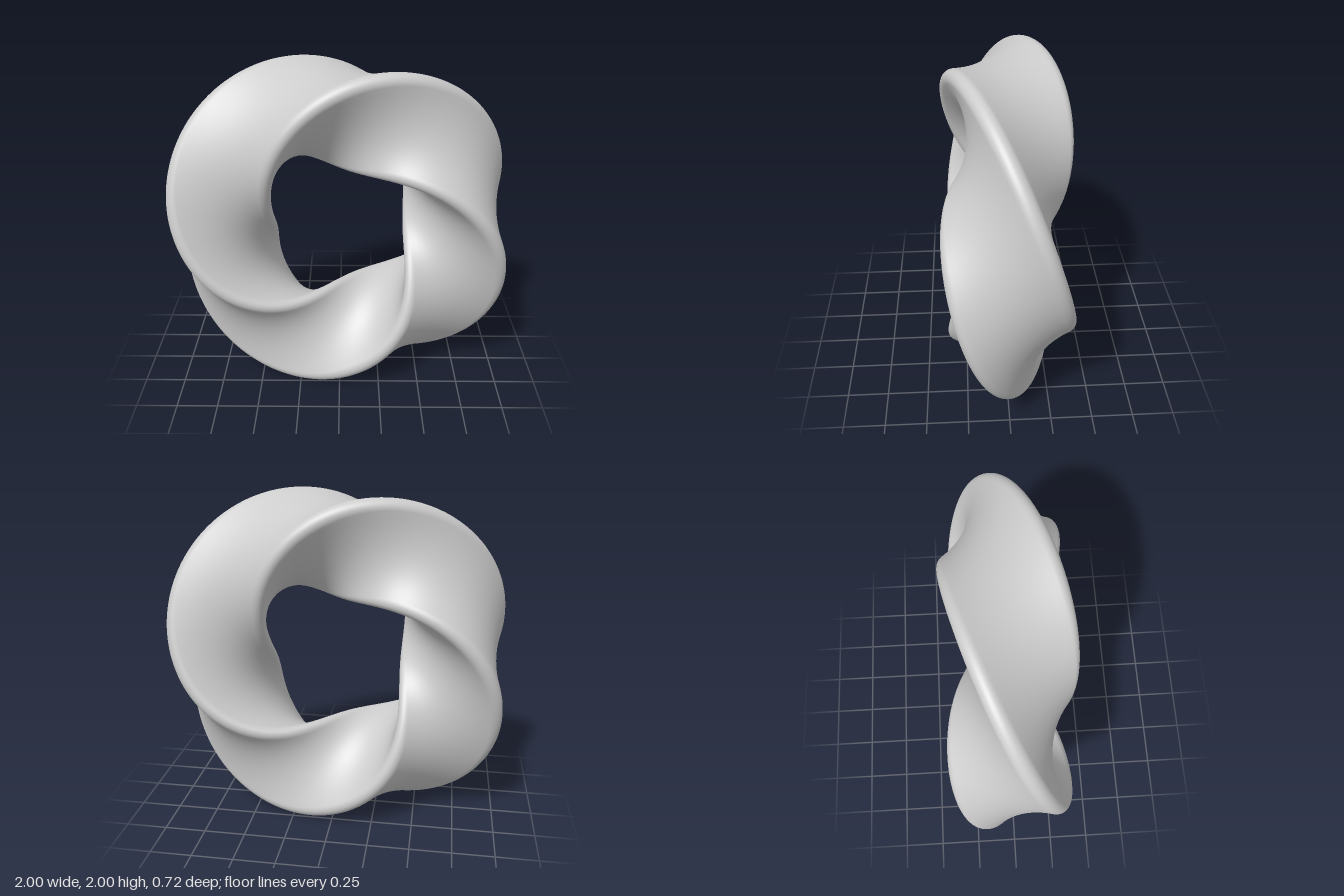
import * as THREE from 'three';

const RING = 0.745;      // radius of the ring's centre line
const CORNER = 0.3;      // section centre to centre of each rounded corner
const ROUND = 0.06;      // corner rounding radius
const TWIST = 4 / 3;     // section turns per trip round the ring
const STEPS = 288;       // sections round the ring

// Rounded triangle, counter-clockwise, as [radial, axial] points
function roundedTriangle(arcSteps, sideSteps) {
  const points = [];
  const third = (Math.PI * 2) / 3;
  const at = (corner, a) => new THREE.Vector2(
    CORNER * Math.cos(corner * third) + ROUND * Math.cos(a),
    CORNER * Math.sin(corner * third) + ROUND * Math.sin(a));
  for (let c = 0; c < 3; c++) {
    const start = c * third - third / 2;
    const end = start + third;
    for (let i = 0; i < arcSteps; i++) points.push(at(c, start + (third * i) / arcSteps));
    const from = at(c, end);
    const to = at(c + 1, end);
    for (let i = 0; i < sideSteps; i++) points.push(from.clone().lerp(to, i / sideSteps));
  }
  return points;
}

// Sweep the section round the ring while it twists
function twistedRing() {
  const section = roundedTriangle(12, 14);
  const n = section.length;
  const positions = [];
  const index = [];
  for (let s = 0; s < STEPS; s++) {
    const theta = (s / STEPS) * Math.PI * 2;
    const turn = TWIST * (theta - Math.PI / 4);
    const ct = Math.cos(turn), st = Math.sin(turn);
    for (const p of section) {
      const r = RING + p.x * ct - p.y * st;
      positions.push(r * Math.cos(theta), 1 + r * Math.sin(theta), p.x * st + p.y * ct);
    }
    // The last section meets the first one third of a turn on
    const last = s === STEPS - 1;
    const next = last ? 0 : (s + 1) * n;
    const shift = last ? n / 3 : 0;
    for (let k = 0; k < n; k++) {
      const k1 = (k + 1) % n;
      const a = s * n + k, b = s * n + k1;
      const c = next + ((k + shift) % n), d = next + ((k1 + shift) % n);
      index.push(a, c, b, b, c, d);
    }
  }
  const geometry = new THREE.BufferGeometry();
  geometry.setAttribute('position', new THREE.Float32BufferAttribute(positions, 3));
  geometry.setIndex(index);
  geometry.computeVertexNormals();
  return geometry;
}

export function createModel() {
  const group = new THREE.Group();
  group.name = 'twistedTriangularRing';
  const ring = new THREE.Mesh(twistedRing(), new THREE.MeshStandardMaterial({ color: 0xcccccc }));
  ring.name = 'ring';
  group.add(ring);
  return group;
}
